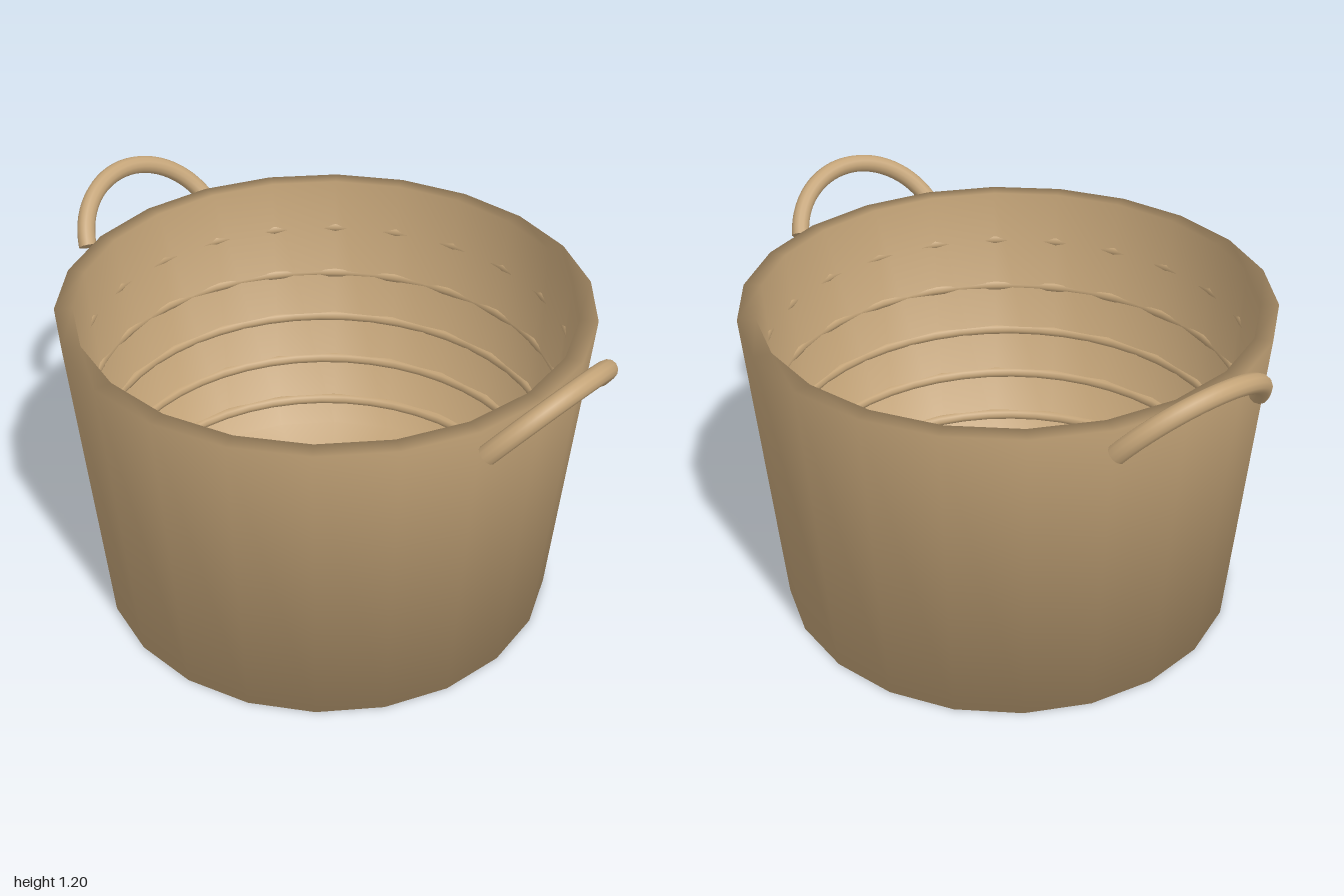
import * as THREE from 'three';
import { mergeGeometries } from 'three/addons/utils/BufferGeometryUtils.js';

const wicker = new THREE.MeshStandardMaterial({ color: 0xc4a478 });
wicker.name = 'wicker tan';

const SIDES = 22;

function addMesh(parent, name, geometry) {
  const mesh = new THREE.Mesh(geometry, wicker);
  mesh.name = name;
  parent.add(mesh);
  return mesh;
}

// Arched grip with closed ends, standing in the YZ plane
function handleGeometry() {
  const radius = 0.278, tube = 0.03, half = 1.26;
  const start = Math.PI / 2 - half, end = Math.PI / 2 + half;
  const arch = new THREE.TorusGeometry(radius, tube, 12, 28, half * 2).rotateZ(start);
  const cap = (angle, turn) =>
    new THREE.CircleGeometry(tube, 12).rotateX(turn).translate(radius, 0, 0).rotateZ(angle);
  return mergeGeometries([arch, cap(start, Math.PI / 2), cap(end, -Math.PI / 2)]).rotateY(Math.PI / 2);
}

export function createModel() {
  const basket = new THREE.Group();
  basket.name = 'basket';

  // Tapered body: underside, outer wall, rim, inner wall and floor
  const profile = [
    [0, 0], [0.765, 0], [0.847, 1.06], [0.79, 1.06], [0.73, 0.05], [0, 0.05],
  ].map(([r, y]) => new THREE.Vector2(r, y));
  addMesh(basket, 'body', new THREE.LatheGeometry(profile, SIDES, Math.PI / 2));

  // Woven bands showing on the inner wall, standing out more towards the floor
  for (let i = 0; i < 5; i++) {
    const ring = new THREE.TorusGeometry(0.735 + i * 0.015, 0.02, 8, 48).rotateX(Math.PI / 2);
    addMesh(basket, 'wovenBand' + (i + 1), ring).position.y = 0.16 + i * 0.18;
  }

  // Pair of handles leaning outwards
  const grip = handleGeometry();
  for (const side of ['left', 'right']) {
    const mount = new THREE.Group();
    mount.name = side + 'Handle';
    mount.rotation.y = side === 'left' ? 0 : Math.PI;
    const mesh = addMesh(mount, side + 'Grip', grip);
    mesh.position.set(0.804, 0.947, 0);
    mesh.rotation.z = -0.638;
    basket.add(mount);
  }
  return basket;
}
